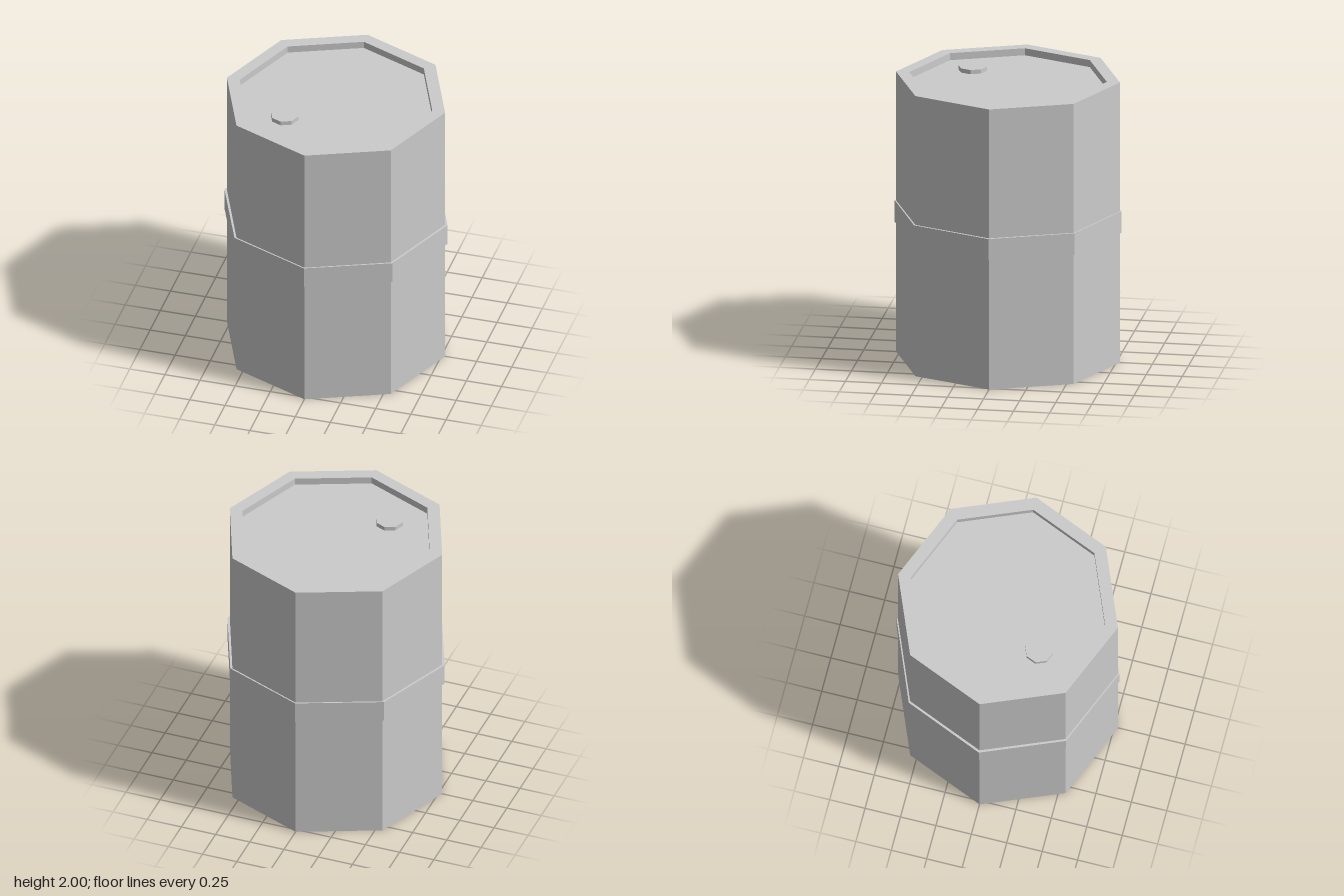
import * as THREE from 'three';

const SIDES = 8;

// Revolves a [radius, height] profile into an eight-sided part
function turned(name, profile, material) {
  const points = profile.map(([r, y]) => new THREE.Vector2(r, y));
  const mesh = new THREE.Mesh(new THREE.LatheGeometry(points, SIDES), material);
  mesh.name = name;
  return mesh;
}

export function createModel() {
  const group = new THREE.Group();
  group.name = 'barrel';
  const material = new THREE.MeshStandardMaterial({ color: 0xcccccc, flatShading: true });

  // Drum with raised rim and recessed lid
  const lidY = 1.95;
  const drum = turned('drum', [
    [0, 0], [0.776, 0], [0.776, 2], [0.685, 2], [0.685, lidY], [0, lidY],
  ], material);

  // Reinforcing band around the middle, a touch wider across x
  const band = turned('band', [
    [0.74, 0.926], [0.79, 0.926], [0.79, 1.08], [0.74, 1.08],
  ], material);
  band.scale.set(1.005, 1, 0.994);

  // Filler cap on the lid
  const capHeight = 0.03;
  const cap = new THREE.Mesh(new THREE.CylinderGeometry(0.098, 0.098, capHeight, SIDES), material);
  cap.name = 'fillerCap';
  cap.position.set(-0.28, lidY + capHeight / 2, 0.292);

  group.add(drum, band, cap);
  return group;
}
